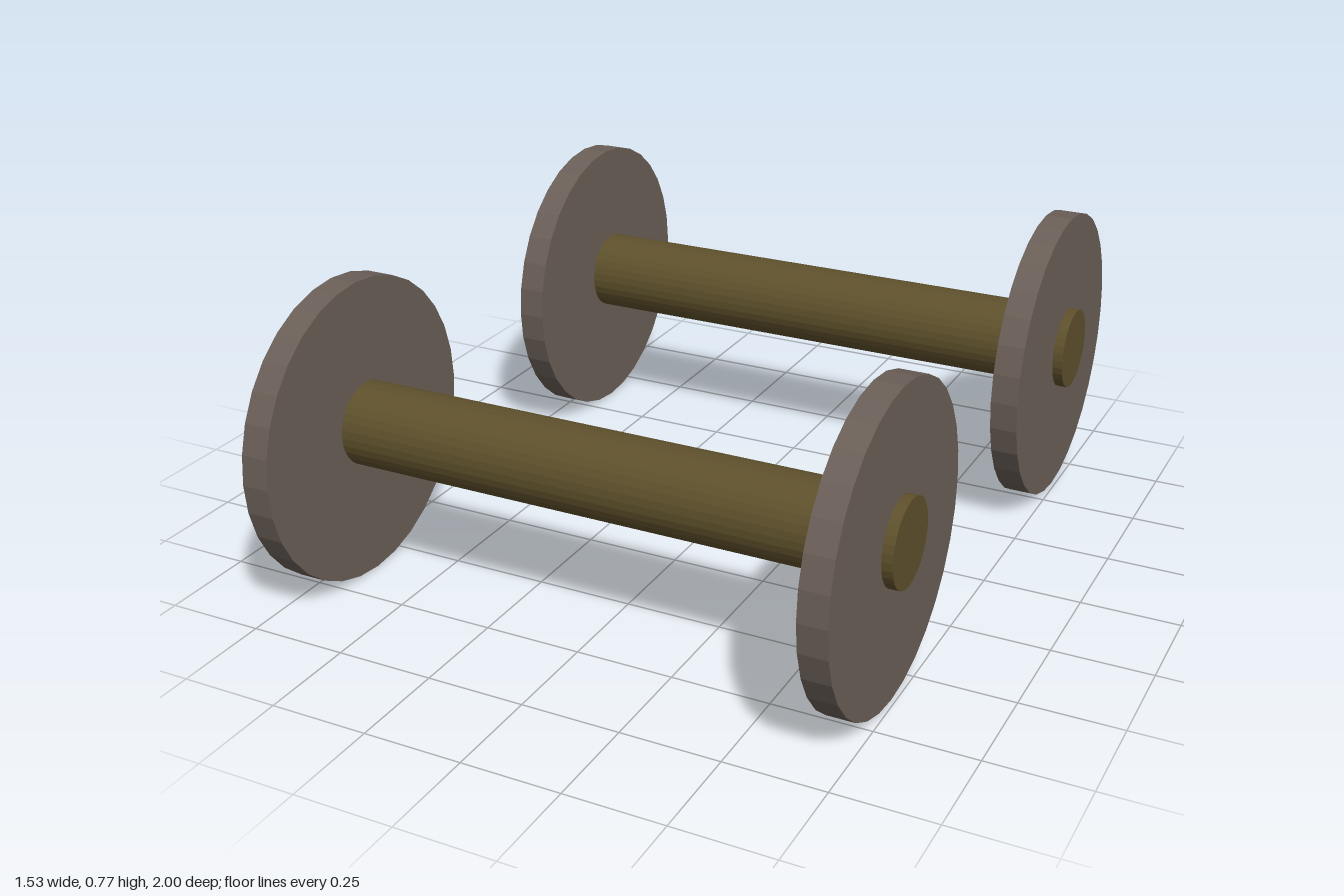
import * as THREE from 'three';

const wheelMaterial = new THREE.MeshStandardMaterial({ color: 0x6b6058, flatShading: true });
const axleMaterial = new THREE.MeshStandardMaterial({ color: 0x5f512c, flatShading: true });

// Cylinder lying along x
function crossCylinder(name, radius, length, material, x, y, z) {
  const geometry = new THREE.CylinderGeometry(radius, radius, length, 32);
  geometry.rotateZ(Math.PI / 2);
  const mesh = new THREE.Mesh(geometry, material);
  mesh.name = name;
  mesh.position.set(x, y, z);
  return mesh;
}

// An axle with a disc wheel near each end
function wheelSet(name, wheelZ, axleZ) {
  const set = new THREE.Group();
  set.name = name;
  set.add(crossCylinder('axle', 0.107, 1.532, axleMaterial, 0, 0.403, axleZ));
  for (const side of [1, -1]) {
    const wheelName = side > 0 ? 'leftWheel' : 'rightWheel';
    set.add(crossCylinder(wheelName, 0.387, 0.071, wheelMaterial, side * 0.704, 0.387, wheelZ));
  }
  return set;
}

export function createModel() {
  const model = new THREE.Group();
  model.name = 'wheelSets';
  // Both axles sit slightly behind and above their wheel centres
  model.add(wheelSet('frontWheelSet', 0.613, 0.606));
  model.add(wheelSet('rearWheelSet', -0.613, -0.633));
  return model;
}
